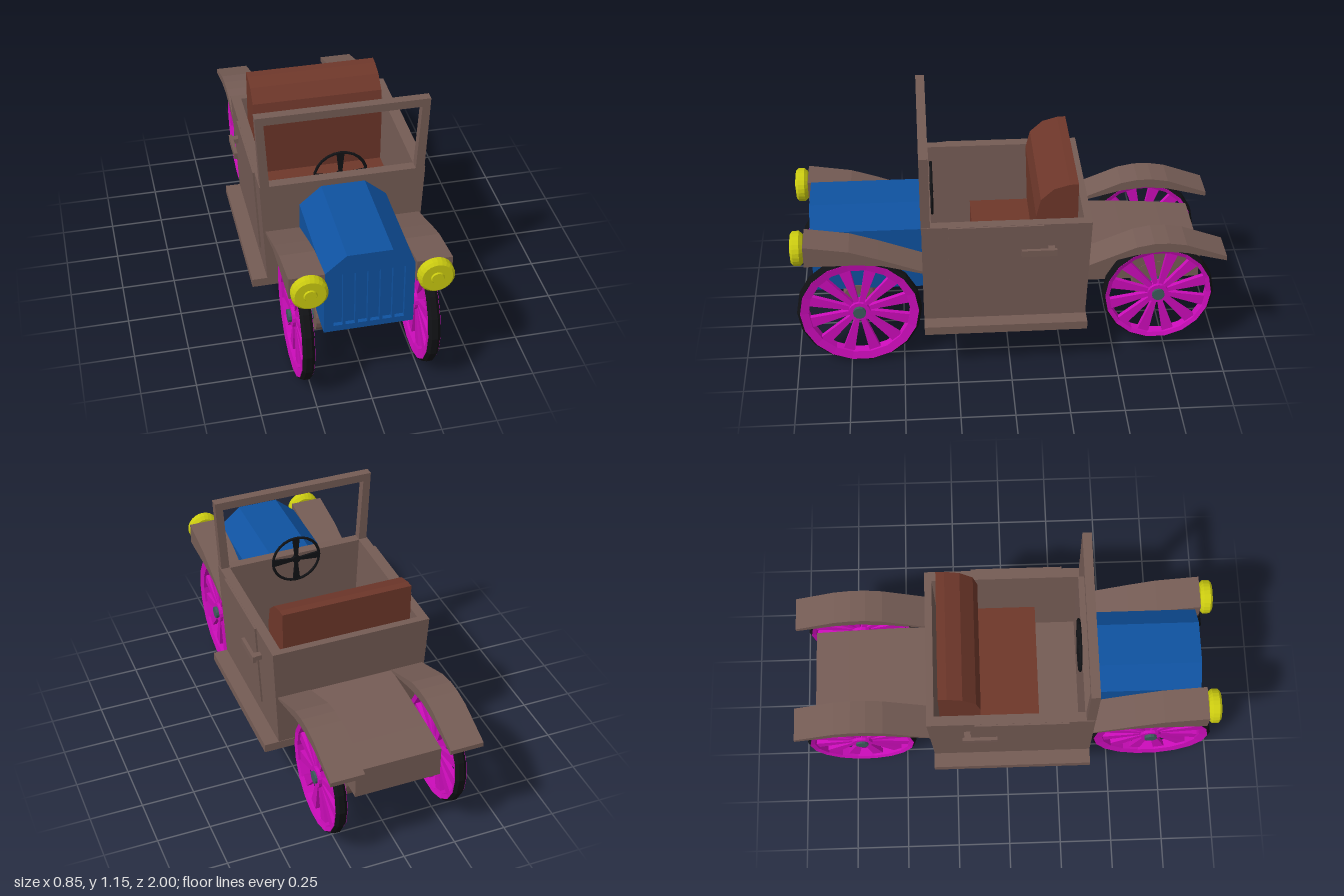
import * as THREE from 'three';

const paint = (color) => new THREE.MeshStandardMaterial({ color, flatShading: true, side: THREE.DoubleSide });
const BROWN = paint(0x755c55), BLUE = paint(0x0f52a0), MAGENTA = paint(0xcc0cba), YELLOW = paint(0xcccc10);
const LEATHER = paint(0x6e372a), BLACK = paint(0x111215), TEAL = paint(0x3d5c5c);

function add(parent, name, geo, mat, x = 0, y = 0, z = 0) {
  const m = new THREE.Mesh(geo, mat);
  m.name = name;
  m.position.set(x, y, z);
  parent.add(m);
  return m;
}

const poly = (pts) => new THREE.Shape(pts.map(([a, b]) => new THREE.Vector2(a, b)));
const rect = (x0, y0, x1, y1) => poly([[x0, y0], [x1, y0], [x1, y1], [x0, y1]]);
const extrude = (shape, depth) => new THREE.ExtrudeGeometry(shape, { depth, bevelEnabled: false, curveSegments: 12 });

// Side profile of (z, y) points, extruded across the width x0..x1
function across(pts, x0, x1) {
  return extrude(poly(pts), x1 - x0).rotateY(-Math.PI / 2).translate(x1, 0, 0);
}

// Move vertices by a rule
function warp(geo, rule) {
  const p = geo.attributes.position, v = new THREE.Vector3();
  for (let i = 0; i < p.count; i++) {
    rule(v.fromBufferAttribute(p, i));
    p.setXYZ(i, v.x, v.y, v.z);
  }
  geo.computeVertexNormals();
  return geo;
}

// Closed ring turned about the x axis from (radius, x) points
function ring(pts, sides) {
  const closed = [...pts, pts[0]].map(([r, x]) => new THREE.Vector2(r, x));
  return new THREE.LatheGeometry(closed, sides).rotateZ(-Math.PI / 2);
}

const axial = (r, len, sides) => new THREE.CylinderGeometry(r, r, len, sides).rotateZ(Math.PI / 2);

function makeWheel(name, R, tyre, rim) {
  const g = new THREE.Group(), r1 = R - tyre, r2 = r1 - rim;
  g.name = name;
  add(g, 'tyre', ring([[r1, -0.027], [R - 0.012, -0.027], [R, -0.013], [R, 0.013], [R - 0.012, 0.027], [r1, 0.027]], 18), BLACK);
  add(g, 'rim', ring([[r2, -0.022], [r1 + 0.002, -0.029], [r1 + 0.002, 0.029], [r2, 0.022]], 18), MAGENTA);
  // Spokes widen towards the rim
  for (let i = 0; i < 12; i++) {
    const spoke = extrude(poly([[-0.009, 0.03], [0.009, 0.03], [0.028, r2 + 0.008], [-0.028, r2 + 0.008]]), 0.022);
    spoke.translate(0, 0, -0.011).rotateY(Math.PI / 2);
    add(g, 'spoke', spoke, MAGENTA).rotation.x = ((i + 0.5) * Math.PI) / 6;
  }
  add(g, 'hub', axial(0.05, 0.05, 16), MAGENTA);
  return g;
}

export function createModel() {
  const car = new THREE.Group();
  car.name = 'car';

  // Open tub, flaring outwards towards the top
  const tub = rect(-0.355, -0.40, 0.355, 0.352);
  tub.holes.push(rect(-0.312, -0.355, 0.312, 0.318));
  const flare = (v) => {
    const t = (v.y - 0.28) / 0.52;
    v.x *= 1 + 0.07 * t;
    if (v.z < 0) v.z -= 0.017 * t;
  };
  add(car, 'body', warp(extrude(tub, 0.52).rotateX(-Math.PI / 2).translate(0, 0.28, 0), flare), BROWN);
  add(car, 'runningBoard', new THREE.BoxGeometry(0.85, 0.042, 0.755), BROWN, 0, 0.261, 0.0225);

  // Windscreen frame, wider at the top
  const frame = poly([[-0.375, 0.79], [0.375, 0.79], [0.392, 1.165], [-0.392, 1.165]]);
  frame.holes.push(poly([[-0.335, 0.8], [0.335, 0.8], [0.354, 1.126], [-0.354, 1.126]]));
  add(car, 'windscreenFrame', extrude(frame, 0.042).translate(0, 0, 0.36), BROWN);

  // Bonnet with slotted grille
  const bonnet = [[-0.2, 0.36], [0.2, 0.36], [0.2, 0.68], [0.1, 0.767], [-0.1, 0.767], [-0.2, 0.68]];
  add(car, 'bonnet', extrude(poly(bonnet), 0.49).translate(0, 0, 0.4), BLUE);
  const grille = poly(bonnet);
  for (let i = 0; i < 6; i++) {
    const x = -0.137 + i * 0.0548;
    grille.holes.push(rect(x - 0.021, 0.39, x + 0.021, 0.67));
  }
  add(car, 'grille', extrude(grille, 0.02).translate(0, 0, 0.89), BLUE);

  // Rear trunk with a gently sloping lid
  add(car, 'trunk', across([[-0.35, 0.36], [-0.35, 0.548], [-0.55, 0.54], [-0.75, 0.525], [-0.905, 0.508], [-0.905, 0.36]], -0.203, 0.203), BROWN);

  // Bench seat
  add(car, 'seatBack', across([[-0.31, 0.45], [-0.31, 0.962], [-0.27, 0.96], [-0.2, 0.94], [-0.14, 0.885], [-0.12, 0.8], [-0.13, 0.45]], -0.31, 0.31), LEATHER);
  add(car, 'seatCushion', new THREE.BoxGeometry(0.62, 0.22, 0.46), LEATHER, 0, 0.39, -0.075);

  // Steering wheel with four tapered spokes
  const steering = new THREE.Group();
  steering.name = 'steeringWheel';
  steering.position.set(0, 0.777, 0.345);
  car.add(steering);
  add(steering, 'steeringRim', new THREE.TorusGeometry(0.119, 0.007, 6, 24), BLACK);
  for (let i = 0; i < 4; i++) {
    const spoke = extrude(poly([[-0.006, 0], [0.006, 0], [0.018, 0.119], [-0.018, 0.119]]), 0.01).translate(0, 0, -0.005);
    add(steering, 'steeringSpoke', spoke, BLACK).rotation.z = (i * Math.PI) / 2;
  }
  add(steering, 'steeringHub', new THREE.CylinderGeometry(0.02, 0.02, 0.016, 12).rotateX(Math.PI / 2), BLACK);

  // Axles and their housings
  for (const [z, y, r, end] of [[0.7, 0.3, 0.08, 'front'], [-0.7, 0.34, 0.11, 'rear']]) {
    add(car, end + 'AxleHousing', axial(r, 0.41, 18), BROWN, 0, y, z);
    add(car, end + 'Axle', axial(0.03, 0.64, 12), TEAL, 0, y, z);
  }

  // Fender side profiles (z, y)
  const frontFender = [[0.935, 0.6], [0.935, 0.705], [0.73, 0.672], [0.6, 0.628], [0.4, 0.552], [0.4, 0.54], [0.58, 0.59], [0.7, 0.6]];
  const rearFender = [[-0.36, 0.55], [-0.58, 0.64], [-0.66, 0.655], [-0.73, 0.655], [-0.81, 0.642], [-1, 0.572],
    [-1, 0.55], [-0.81, 0.6], [-0.7, 0.612], [-0.58, 0.598], [-0.36, 0.54]];

  // Lamp profile, turned to face forwards
  const lamp = [[0, 0], [0.065, 0], [0.08, 0.015], [0.08, 0.045], [0.068, 0.056], [0.03, 0.056], [0.026, 0.062], [0, 0.062]]
    .map(([r, z]) => new THREE.Vector2(r, z));

  for (const s of [1, -1]) {
    const side = s > 0 ? 'left' : 'right';
    const x0 = s > 0 ? 0.2 : -0.357, x1 = x0 + 0.157;
    add(car, side + 'FrontFender', across(frontFender, x0, x1), BROWN);
    add(car, side + 'RearFender', across(rearFender, x0, x1), BROWN);
    add(car, side + 'Headlight', new THREE.LatheGeometry(lamp, 24).rotateX(Math.PI / 2), YELLOW, s * 0.275, 0.65, 0.938);

    // Door panel follows the flare of the tub
    const door = new THREE.BoxGeometry(0.016, 0.43, 0.43).translate(s * 0.355, 0.584, 0.065);
    add(car, side + 'Door', warp(door, (v) => { v.x *= 1 + 0.07 * (v.y - 0.28) / 0.52; }), BROWN);
    add(car, side + 'HandleStem', new THREE.BoxGeometry(0.05, 0.024, 0.03), BROWN, s * 0.385, 0.67, -0.185);
    add(car, side + 'Handle', new THREE.BoxGeometry(0.016, 0.032, 0.16), BROWN, s * 0.412, 0.67, -0.128);

    const front = makeWheel(side + 'FrontWheel', 0.291, 0.016, 0.038);
    front.position.set(s * 0.28, 0.298, 0.7);
    const rear = makeWheel(side + 'RearWheel', 0.262, 0.014, 0.018);
    rear.position.set(s * 0.285, 0.34, -0.7);
    car.add(front, rear);
  }

  // Stand on the ground
  car.children.forEach((c) => { c.position.y -= 0.007 * Math.cos(Math.PI / 18); });
  return car;
}
